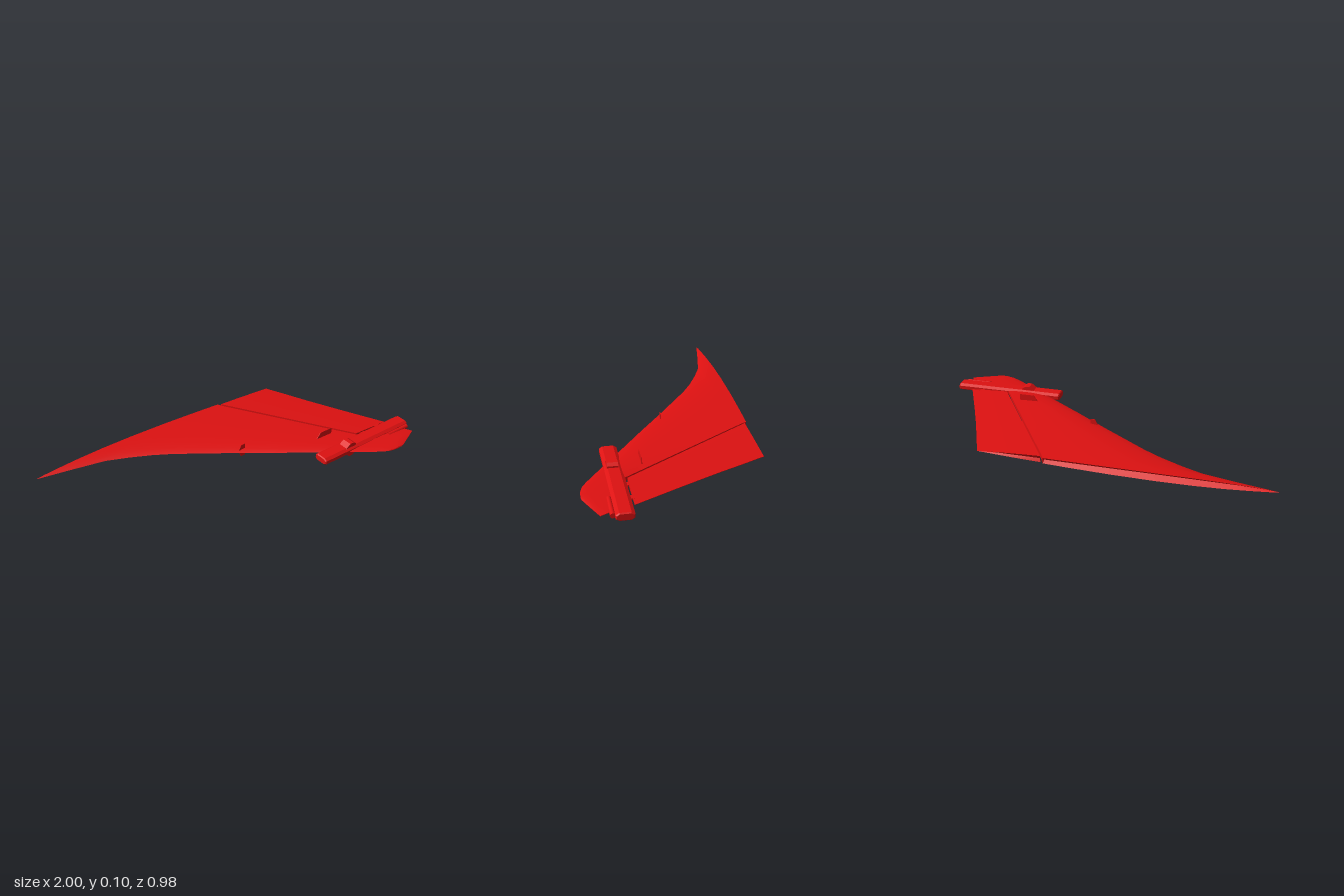
import * as THREE from 'three';
import { toCreasedNormals } from 'three/addons/utils/BufferGeometryUtils.js';

const MID = 0.05; // height of the plane the fin lies in
const red = new THREE.MeshStandardMaterial({ color: 0xdd1111, side: THREE.DoubleSide });

function add(group, name, geometry) {
  const mesh = new THREE.Mesh(geometry, red);
  mesh.name = name;
  group.add(mesh);
  return mesh;
}

// Symmetric surface lofted along z.
// rows: [z, front x, rear x, half thickness, z bow]; profile: [chord fraction, thickness fraction]
function loft(rows, profile) {
  const ring = [...profile, ...profile.map(([u, h]) => [u, -h]).reverse()];
  const n = ring.length, pos = [], index = [];
  for (const [z, x0, x1, t, bow = 0] of rows)
    for (const [u, h] of ring)
      pos.push(x0 + (x1 - x0) * u, MID + t * h, z + bow * Math.sin(Math.PI * u));
  for (let i = 0; i < rows.length - 1; i++)
    for (let j = 0; j < n; j++) {
      const a = i * n + j, b = i * n + (j + 1) % n, c = a + n, d = b + n;
      index.push(a, c, b, b, c, d);
    }
  const g = new THREE.BufferGeometry();
  g.setAttribute('position', new THREE.Float32BufferAttribute(pos, 3));
  g.setIndex(index);
  return toCreasedNormals(g, 0.5);
}

// Outline extruded along z, centred on zMid, with y measured from the fin plane
function plate(points, depth, zMid) {
  const shape = new THREE.Shape(points.map(([x, y]) => new THREE.Vector2(x, y)));
  return new THREE.ExtrudeGeometry(shape, { depth, bevelEnabled: false })
    .translate(0, MID, zMid - depth / 2);
}

export function createModel() {
  const group = new THREE.Group();
  group.name = 'tailFin';
  const foil = [[0, 0], [0.04, 0.25], [0.12, 0.52], [0.22, 0.78], [0.35, 0.95],
    [0.5, 1], [0.7, 0.95], [0.88, 0.82], [1, 0.7]];
  const hinge = z => 0.205 + (z + 0.47) * 0.639;

  // Main fin with swept, curved leading edge and a notched root
  const lead = [[-0.44, -0.81], [-0.4, -0.62], [-0.35, -0.5], [-0.29, -0.38], [-0.23, -0.28],
    [-0.17, -0.195], [-0.05, -0.025], [0.1, 0.18], [0.26, 0.405]];
  const finRows = [[-0.463, -0.93, 0.2, 0], [-0.477, -1, 0.205, 0.0225, -0.014]];
  for (const [z, x] of lead) finRows.push([z, x, hinge(z), 0.0172 - 0.0105 * z]);
  finRows.push([0.3, 0.46, 0.9, 0.0125]);
  add(group, 'mainFin', loft(finRows, foil));

  // Rudder, tapering to a thin trailing edge
  const rudderProfile = [[0, 0], [0, 0.95], [0.3, 0.75], [0.65, 0.42], [1, 0.06]];
  const trail = [[-0.464, 0.573], [-0.42, 0.592], [-0.36, 0.62], [-0.2, 0.69], [0, 0.784], [0.25, 0.905]];
  const rudderRows = trail.map(([z, x]) => [z, hinge(z) + 0.013, x, 0.0145 - 0.01 * z]);
  rudderRows.unshift([-0.455, 0.225, 0.573, 0]);
  rudderRows.push([0.25, hinge(0.25) + 0.013, 0.905, 0]);
  add(group, 'rudder', loft(rudderRows, rudderProfile));

  // Hinge fairings joining rudder and pod
  for (const x of [0.72, 0.84])
    add(group, 'rudderHinge', new THREE.BoxGeometry(0.03, 0.008, 0.03)).position.set(x, MID, 0.255);

  // Rounded fin cap outside the pod
  const capProfile = [[0, 0], [0.06, 0.5], [0.2, 0.9], [0.5, 1], [0.8, 0.8], [1, 0.15]];
  add(group, 'finCap', loft([
    [0.32, 0.49, 0.93, 0.009], [0.365, 0.55, 0.945, 0.0085], [0.415, 0.62, 0.97, 0.0075],
    [0.45, 0.67, 0.895, 0.007], [0.473, 0.71, 0.845, 0.006], [0.483, 0.745, 0.822, 0.005],
    [0.486, 0.77, 0.81, 0],
  ], capProfile));

  // Long eight-sided pod with blunt ends
  const pod = new THREE.Group();
  pod.name = 'pod';
  group.add(pod);
  const section = [[-0.045, -0.01], [-0.028, -0.021], [0.028, -0.021], [0.045, -0.01],
    [0.045, 0.01], [0.028, 0.021], [-0.028, 0.021], [-0.045, 0.01]];
  const bodyShape = new THREE.Shape(section.map(([x, y]) => new THREE.Vector2(x, y)));
  const body = new THREE.ExtrudeGeometry(bodyShape, {
    depth: 0.633, bevelThickness: 0.006, bevelSize: 0.005, bevelOffset: -0.005, bevelSegments: 1,
  });
  body.rotateY(Math.PI / 2).translate(0.358, MID, 0.305);
  add(pod, 'podBody', body);

  // Fairing bumps above and below the pod
  for (const s of [1, -1]) {
    const outline = [[0.49, 0], [0.545, 0.042], [0.57, 0.042], [0.588, 0.03], [0.588, 0]]
      .map(([x, y]) => [x, y * s]);
    add(pod, 'podFairing', plate(outline, 0.057, 0.309));
  }

  // Small tail tube beside the pod
  const tube = new THREE.CylinderGeometry(0.013, 0.013, 0.15, 12).rotateZ(Math.PI / 2);
  add(pod, 'tailTube', tube).position.set(0.903, MID, 0.36);

  // Thin swept blades on both faces of the fin
  for (const s of [1, -1]) {
    const big = [[0.44, 0], [0.475, 0.05], [0.56, 0.05], [0.56, 0]].map(([x, y]) => [x, y * s]);
    const small = [[0.03, 0], [0.046, 0.038], [0.074, 0.038], [0.074, 0]].map(([x, y]) => [x, y * s]);
    add(group, 'outerBlade', plate(big, 0.004, 0.16));
    add(group, 'innerBlade', plate(small, 0.003, -0.027));
  }
  return group;
}
